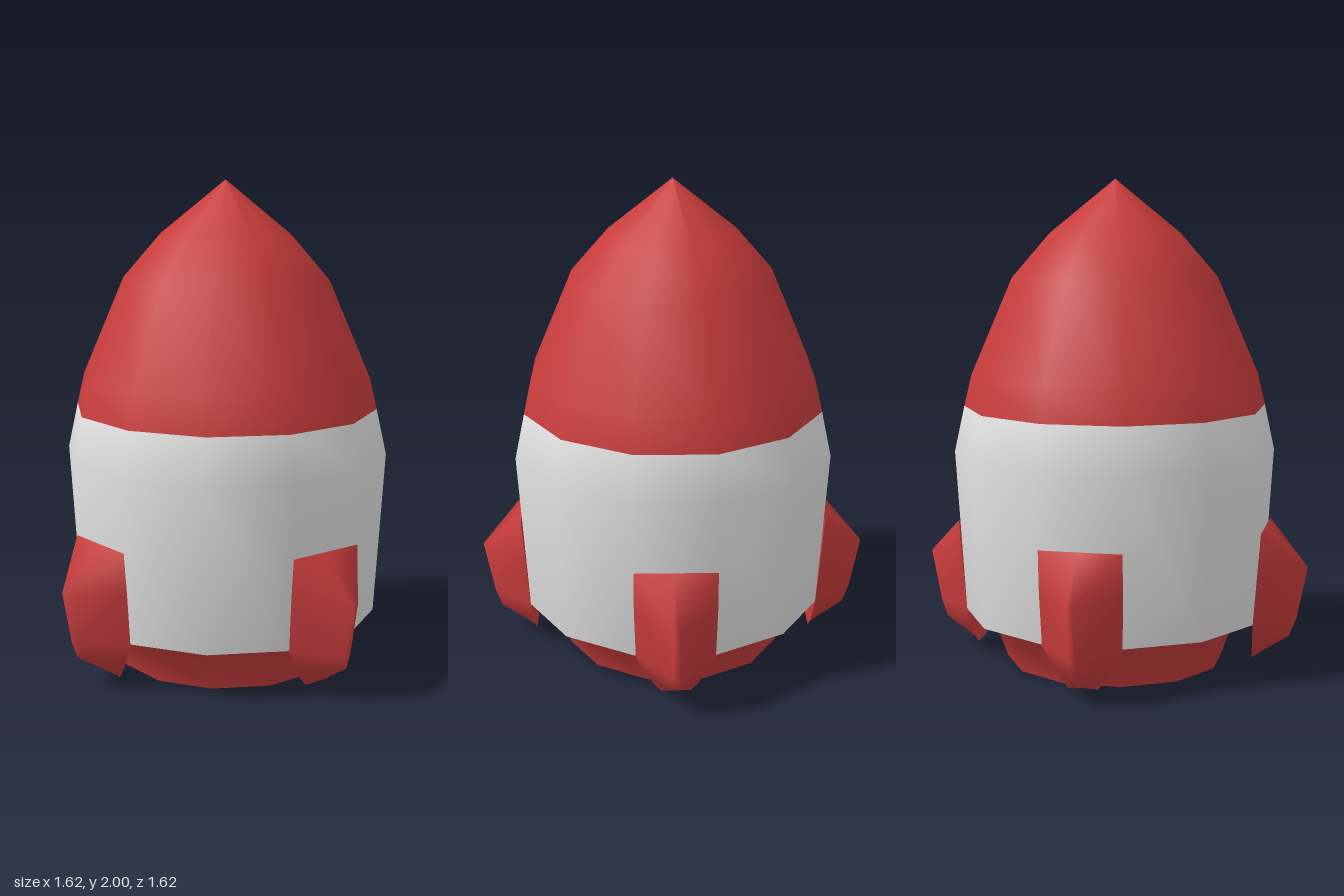
import * as THREE from 'three';

const red = new THREE.MeshStandardMaterial({ color: 0xc83c3c });
red.name = 'red paint';
const white = new THREE.MeshStandardMaterial({ color: 0xe6e6e6 });
white.name = 'white paint';
const black = new THREE.MeshStandardMaterial({ color: 0x080808 });
black.name = 'black exhaust';

const SIDES = 12;
const HALF = Math.PI / SIDES;

// Hull outline: [distance from axis to a flat side, height]
const HULL = [
  [0.44, 0], [0.50, 0.175], [0.605, 0.205], [0.645, 0.88], [0.605, 1.07],
  [0.575, 1.2], [0.41, 1.6], [0.26, 1.78], [0, 2],
];
// Rows of the hull belonging to each painted band
const BANDS = [[0, 2, red], [2, 4, white], [4, 8, red]];

// One smooth twelve-sided hull, its faces regrouped into painted bands
function createHull() {
  const points = HULL.map(([r, y]) => new THREE.Vector2(r / Math.cos(HALF), y));
  const geometry = new THREE.LatheGeometry(points, SIDES, HALF);
  const index = [];
  BANDS.forEach(([from, to], band) => {
    const start = index.length;
    for (let i = 0; i < SIDES; i++) {
      for (let j = from; j < to; j++) {
        const a = i * points.length + j;
        const b = a + points.length;
        index.push(a, b, a + 1, b + 1, a + 1, b);
      }
    }
    geometry.addGroup(start, index.length - start, band);
  });
  geometry.setIndex(index);
  const hull = new THREE.Mesh(geometry, BANDS.map((band) => band[2]));
  hull.name = 'hull';
  return hull;
}

// Fin cross-sections, top to bottom: [y, inner z, inner half width, outer z, outer half width]
const FIN = [
  [0.585, 0.635, 0.166, 0.635, 0.01],
  [0.415, 0.622, 0.166, 0.81, 0.01],
  [0.2, 0.605, 0.16, 0.767, 0.015],
  [0.13, 0.6, 0.125, 0.74, 0.02],
  [0.07, 0.594, 0.09, 0.645, 0.03],
  [0.035, 0.59, 0.06, 0.59, 0.04],
];

// Wedge-shaped fin facing +z; the inner face has its own vertices for a sharp edge
function createFinGeometry() {
  const position = [];
  const index = [];
  for (const [y, zi, wi, zo, wo] of FIN) {
    position.push(-wi, y, zi, -wo, y, zo, wo, y, zo, wi, y, zi);
    position.push(wi, y, zi, -wi, y, zi);
  }
  for (let row = 0; row < FIN.length - 1; row++) {
    for (const column of [0, 1, 2, 4]) {
      const a = row * 6 + column;
      const b = a + 1;
      const c = a + 6;
      const d = a + 7;
      if (column === 2) index.push(a, c, b, b, c, d);
      else index.push(a, c, d, a, d, b);
    }
  }
  const geometry = new THREE.BufferGeometry();
  geometry.setAttribute('position', new THREE.Float32BufferAttribute(position, 3));
  geometry.setIndex(index);
  geometry.computeVertexNormals();
  return geometry;
}

export function createModel() {
  const rocket = new THREE.Group();
  rocket.name = 'rocket';
  rocket.add(createHull());

  // Dark opening under the hull
  const disc = new THREE.CircleGeometry(HULL[0][0] / Math.cos(HALF), SIDES, HALF);
  disc.rotateX(Math.PI / 2);
  const exhaust = new THREE.Mesh(disc, black);
  exhaust.name = 'exhaust';
  rocket.add(exhaust);

  // Four fins around the hull
  const finGeometry = createFinGeometry();
  ['frontFin', 'leftFin', 'backFin', 'rightFin'].forEach((name, i) => {
    const fin = new THREE.Mesh(finGeometry, red);
    fin.name = name;
    fin.rotation.y = (i * Math.PI) / 2;
    rocket.add(fin);
  });
  return rocket;
}
